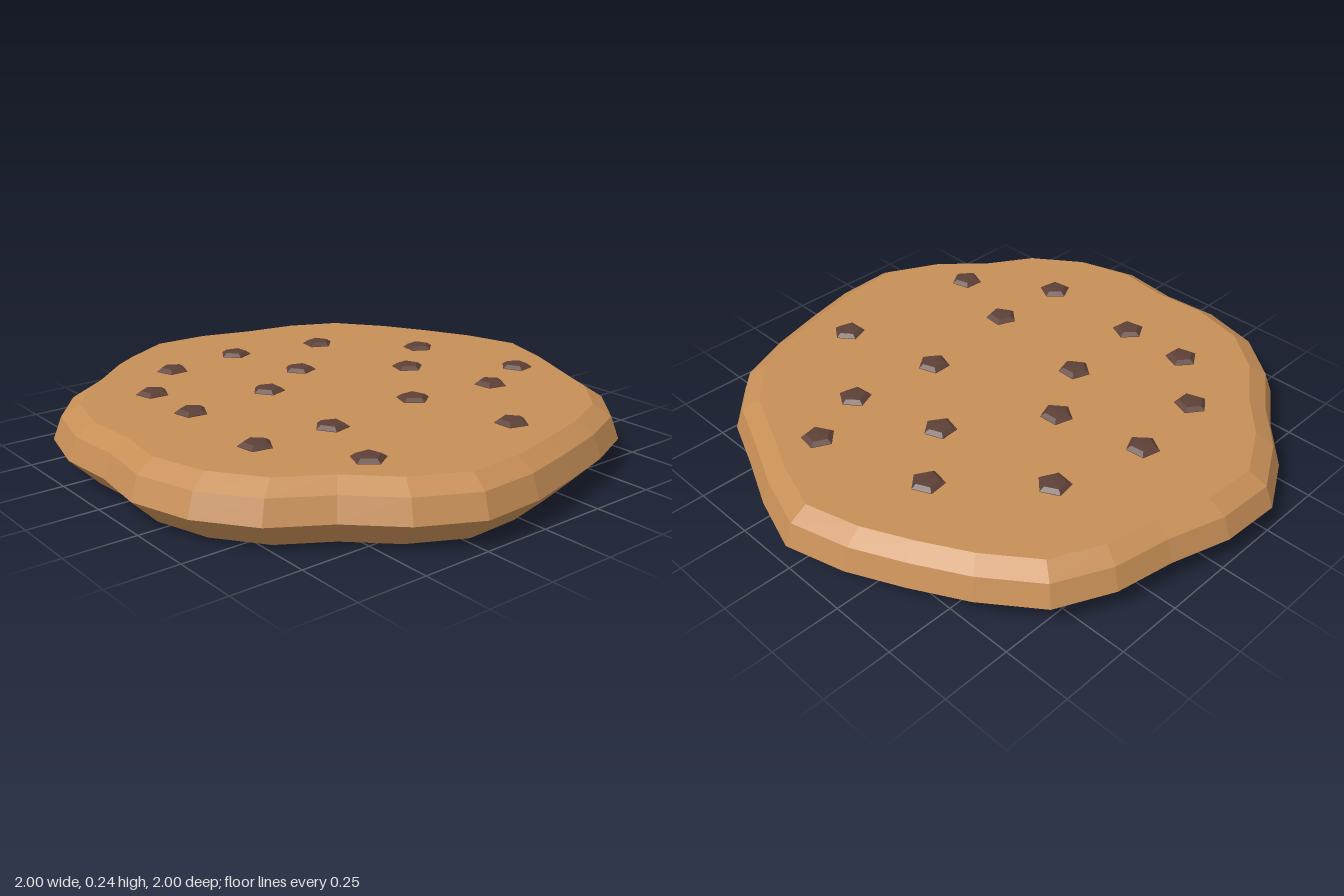
import * as THREE from 'three';

// Wavy rim as x, z pairs, running from the right edge round the back
const RIM = [
  [1, 0], [0.94, -0.22], [0.85, -0.41], [0.745, -0.6], [0.6, -0.79], [0.4, -0.885], [0.185, -0.925],
  [-0.03, -0.99], [-0.255, -1], [-0.455, -0.89], [-0.615, -0.745], [-0.8, -0.615], [-0.935, -0.44], [-0.99, -0.215],
  [-0.975, 0], [-1, 0.22], [-0.935, 0.44], [-0.8, 0.625], [-0.615, 0.74], [-0.455, 0.895], [-0.25, 1],
  [-0.025, 0.99], [0.185, 0.94], [0.4, 0.88], [0.6, 0.795], [0.755, 0.625], [0.84, 0.42], [0.93, 0.22],
];
// Height and rim scale of each layer, from the base to the top face
const LAYERS = [[0, 0], [0, 0.9], [0.1, 1], [0.18, 0.97], [0.22, 0.905], [0.22, 0]];

// Chip centres (x, z)
const CHIPS = [
  [-0.385, -0.545], [-0.077, -0.578], [0.276, -0.497], [-0.588, -0.343], [-0.003, -0.25], [0.56, -0.197],
  [-0.59, -0.082], [-0.247, -0.113], [0.34, -0.017], [-0.604, 0.32], [-0.31, 0.332], [0.096, 0.283],
  [0.433, 0.332], [0.667, 0.24], [-0.402, 0.63], [0.181, 0.676],
];

// Faceted loft through scaled copies of the rim
function loftGeometry() {
  const pos = [];
  const at = ([y, s], i) => {
    const [x, z] = RIM[i % RIM.length];
    return [x * s, y, z * s];
  };
  for (let l = 0; l < LAYERS.length - 1; l++) {
    const lo = LAYERS[l], hi = LAYERS[l + 1];
    for (let i = 0; i < RIM.length; i++) {
      const a = at(lo, i), b = at(lo, i + 1), c = at(hi, i + 1), d = at(hi, i);
      if (lo[1] > 0) pos.push(...a, ...b, ...c);
      if (hi[1] > 0) pos.push(...a, ...c, ...d);
    }
  }
  const geo = new THREE.BufferGeometry();
  geo.setAttribute('position', new THREE.Float32BufferAttribute(pos, 3));
  geo.computeVertexNormals();
  return geo;
}

export function createModel() {
  const dough = new THREE.MeshStandardMaterial({ name: 'baked dough', color: 0xc68e56, flatShading: true });
  const chocolate = new THREE.MeshStandardMaterial({ name: 'chocolate', color: 0x5d4037, flatShading: true });

  const group = new THREE.Group();
  group.name = 'cookie';
  const body = new THREE.Mesh(loftGeometry(), dough);
  body.name = 'cookieBody';
  group.add(body);

  // Low five-sided chips sunk into the top
  const profile = [[0.062, -0.01], [0.06, 0.002], [0.042, 0.014], [0, 0.017]].map(p => new THREE.Vector2(...p));
  const chipGeo = new THREE.LatheGeometry(profile, 5);
  CHIPS.forEach(([x, z], i) => {
    const chip = new THREE.Mesh(chipGeo, chocolate);
    chip.name = 'chocolateChip' + (i + 1);
    chip.position.set(x, 0.22, z);
    chip.rotation.y = Math.PI + i * 0.4;
    group.add(chip);
  });
  return group;
}
